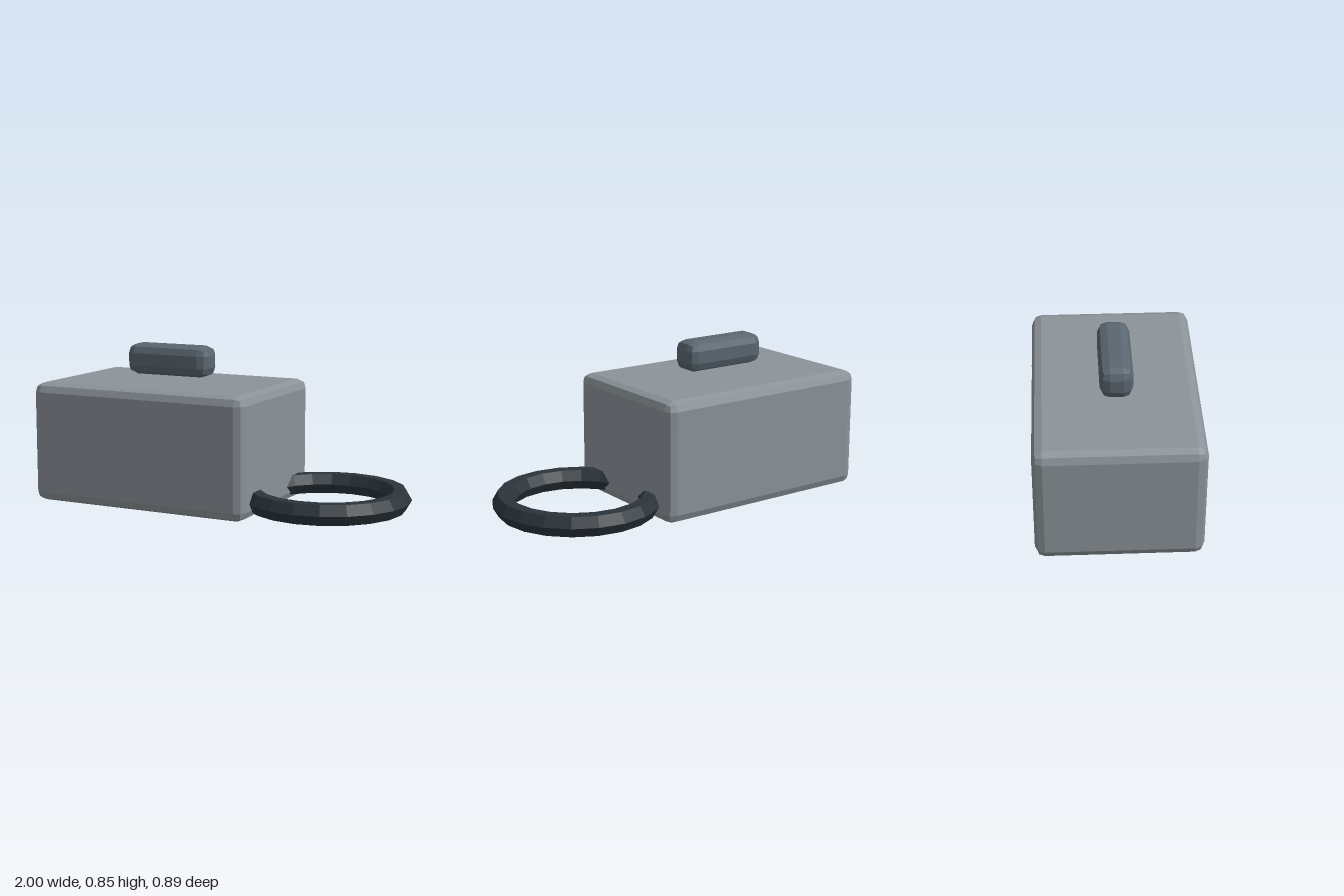
import * as THREE from 'three';
import { RoundedBoxGeometry } from 'three/addons/geometries/RoundedBoxGeometry.js';

const BEVEL = 0.05;
const CENTRE_X = -0.367; // shared by the body and the top grip

function addPart(group, name, geometry, color, x, y) {
  const material = new THREE.MeshStandardMaterial({ color, flatShading: true });
  const mesh = new THREE.Mesh(geometry, material);
  mesh.name = name;
  mesh.position.set(x, y, 0);
  group.add(mesh);
  return mesh;
}

export function createModel() {
  const model = new THREE.Group();
  model.name = 'boxWithRing';

  // Bevelled main block
  addPart(model, 'body', new RoundedBoxGeometry(1.266, 0.65, 0.844, 1, BEVEL), 0x8b9399, CENTRE_X, 0.325);

  // Small bevelled bar hovering above the block
  addPart(model, 'topGrip', new RoundedBoxGeometry(0.49, 0.167, 0.167, 1, BEVEL), 0x5a6670, CENTRE_X, 0.765);

  // Flat-lying six-sided ring, sunk into the end of the block
  const ring = addPart(model, 'ring', new THREE.TorusGeometry(0.384, 0.061, 6, 20), 0x2b343b, 0.555, 0.087);
  ring.rotation.x = -Math.PI / 2;

  return model;
}
